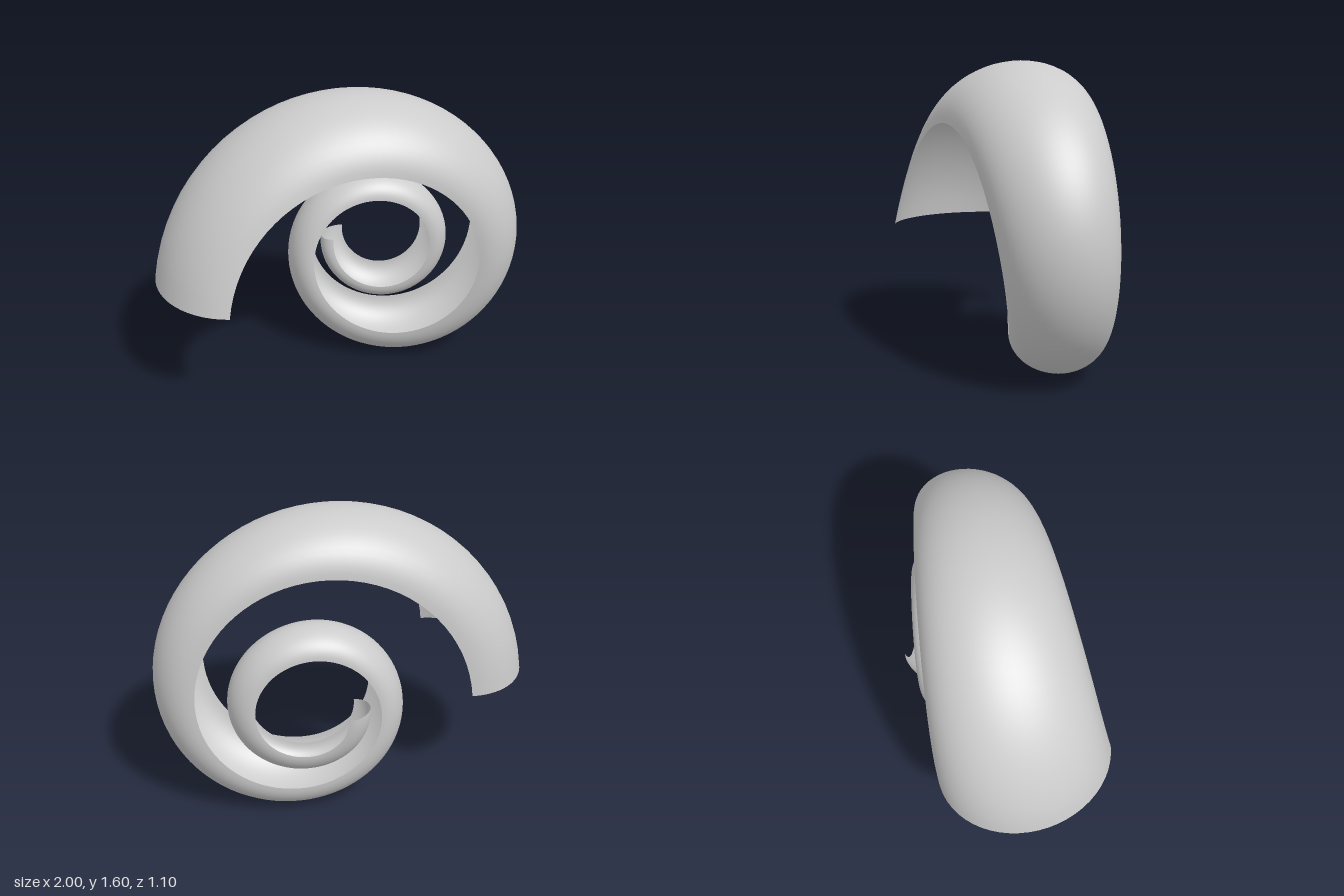
import * as THREE from 'three';

const TURNS = 2, STEPS = 160, ARC = 28;
const CENTRE = { x: 0.22, y: 0.63 };

// One entry per quarter turn, from the wide mouth to the narrow tip
const frontRim = [ // radius, z
  [0.78, 0.55], [0.645, 0.29], [0.525, 0.1], [0.427, -0.01], [0.358, -0.1],
  [0.32, -0.17], [0.305, -0.235], [0.285, -0.285], [0.245, -0.34],
];
const backRim = [ // radius, z
  [0.865, -0.39], [0.715, -0.43], [0.56, -0.455], [0.445, -0.468], [0.37, -0.476],
  [0.315, -0.482], [0.27, -0.49], [0.225, -0.508], [0.19, -0.55],
];
const crest = [1.22, 0.96, 0.772, 0.624, 0.507, 0.442, 0.407, 0.368, 0.32]; // outermost radius

const smooth = (rows) => new THREE.CatmullRomCurve3(
  rows.map(([a, b = 0]) => new THREE.Vector3(a, b, 0)), false, 'catmullrom', 0.5);

// Half-elliptical open section swept along the shrinking spiral
function spiralBand() {
  const front = smooth(frontRim), back = smooth(backRim), top = smooth(crest.map((r) => [r]));
  const positions = [], index = [];
  for (let i = 0; i <= STEPS; i++) {
    const u = i / STEPS;
    const angle = Math.PI - u * TURNS * 2 * Math.PI;
    const f = front.getPoint(u), b = back.getPoint(u);
    const midR = (f.x + b.x) / 2, halfR = (f.x - b.x) / 2;
    const midZ = (f.y + b.y) / 2, halfZ = (f.y - b.y) / 2;
    const depth = Math.sqrt((top.getPoint(u).x - midR) ** 2 - halfR ** 2);
    for (let j = 0; j <= ARC; j++) {
      const t = (j / ARC) * Math.PI;
      const r = midR + halfR * Math.cos(t) + depth * Math.sin(t);
      positions.push(
        CENTRE.x + r * Math.cos(angle),
        CENTRE.y + r * Math.sin(angle),
        midZ + halfZ * Math.cos(t));
      if (i < STEPS && j < ARC) {
        const a = i * (ARC + 1) + j, n = a + ARC + 1;
        index.push(a, n, a + 1, n, n + 1, a + 1);
      }
    }
  }
  const geometry = new THREE.BufferGeometry();
  geometry.setAttribute('position', new THREE.Float32BufferAttribute(positions, 3));
  geometry.setIndex(index);
  geometry.computeVertexNormals();
  return geometry;
}

export function createModel() {
  const group = new THREE.Group();
  group.name = 'spiralShell';
  const material = new THREE.MeshStandardMaterial({ color: 0xcccccc, side: THREE.DoubleSide });
  const band = new THREE.Mesh(spiralBand(), material);
  band.name = 'coiledShellWall';
  group.add(band);
  return group;
}
